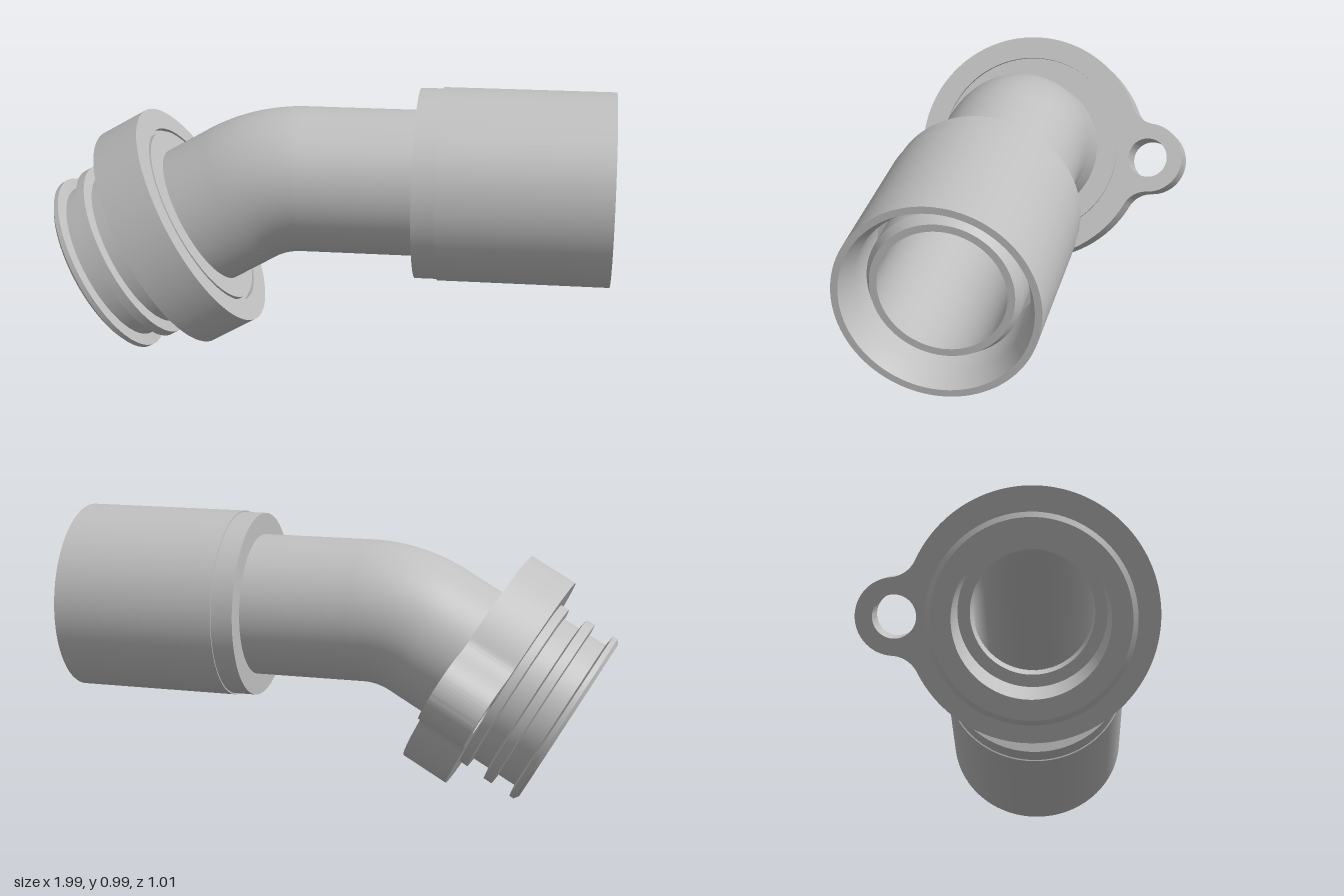
import * as THREE from 'three';
import { toCreasedNormals } from 'three/addons/utils/BufferGeometryUtils.js';

const SEG = 96;
const TUBE_R = 0.258, BORE_R = 0.213, BEND_R = 0.45;

export function createModel() {
  const model = new THREE.Group();
  const grey = new THREE.MeshStandardMaterial({ color: 0xc0c0c0, side: THREE.DoubleSide });
  grey.name = 'plain grey';

  const add = (parent, name, geometry) => {
    const mesh = new THREE.Mesh(geometry, grey);
    mesh.name = name;
    parent.add(mesh);
    return mesh;
  };
  // turned part from [radius, height] pairs, with sharp edges kept
  const turned = (points) => toCreasedNormals(
    new THREE.LatheGeometry(points.map(([r, y]) => new THREE.Vector2(r, y)), SEG), 0.4);

  // whole pipe runs in the plane z = 0.08
  const pipe = new THREE.Group();
  pipe.name = 'pipe';
  pipe.position.z = 0.08;
  model.add(pipe);

  // straight tube with the wide collar and the recessed inner lip (height = x)
  const bendX = -0.087, axisY = 0.653;
  const socket = add(pipe, 'collarAndTube', turned([
    [TUBE_R, bendX], [TUBE_R, 0.32], [0.336, 0.32], [0.336, 0.4], [0.341, 0.4],
    [0.341, 1], [0.317, 1], [0.287, 0.92], [0.287, 0.65], [0.257, 0.65],
    [0.257, 0.88], [0.238, 0.92], [BORE_R, 0.92], [BORE_R, bendX],
  ]));
  socket.rotation.z = -Math.PI / 2;
  socket.position.y = axisY;

  // 30 degree bend, outer and inner wall
  for (const [name, r] of [['bendOuter', TUBE_R], ['bendInner', BORE_R]]) {
    const bend = add(pipe, name, new THREE.TorusGeometry(BEND_R, r, SEG, 24, Math.PI / 6));
    bend.rotation.z = Math.PI / 2;
    bend.position.set(bendX, axisY - BEND_R, 0);
  }

  // tilted end: local y = 0 is the flange face, the open end is at negative y
  const end = new THREE.Group();
  end.name = 'tiltedEnd';
  end.position.set(-0.46, 0.507, 0);
  end.rotation.z = -Math.PI / 3;
  pipe.add(end);

  // ribbed spigot, seated in the flange with a thin groove around it
  add(end, 'ribbedSpigot', turned([
    [0.213, 0], [0.255, 0], [0.255, -0.424], [0.322, -0.424], [0.339, -0.412],
    [0.339, -0.394], [0.297, -0.388], [0.297, -0.322], [0.337, -0.318], [0.337, -0.284],
    [0.297, -0.278], [0.297, -0.216], [0.333, -0.212], [0.333, -0.18], [0.345, -0.18],
    [0.345, -0.015], [0.334, -0.015], [0.334, 0], [TUBE_R, 0], [TUBE_R, 0.171],
  ]));
  add(end, 'spigotBore', turned([[BORE_R, 0.171], [BORE_R, 0]]));

  // flange with one bolt lug, blended by concave fillets
  const R = 0.425, lugR = 0.13, lugY = 0.455, fillet = 0.1;
  const fy = ((R + fillet) ** 2 - (lugR + fillet) ** 2 + lugY ** 2) / (2 * lugY);
  const fx = Math.sqrt((R + fillet) ** 2 - fy ** 2);
  const a = Math.atan2(fy, fx), b = Math.atan2(fy - lugY, fx);
  const outline = new THREE.Shape();
  outline.absarc(0, lugY, lugR, b, Math.PI - b, false);
  outline.absarc(-fx, fy, fillet, -b, -a, true);
  outline.absarc(0, 0, R, Math.PI - a, 2 * Math.PI + a, false);
  outline.absarc(fx, fy, fillet, Math.PI + a, Math.PI + b, true);
  for (const [y, r] of [[0, 0.345], [lugY, 0.073]]) {
    outline.holes.push(new THREE.Path().absarc(0, y, r, 0, 2 * Math.PI, true));
  }
  const flange = new THREE.ExtrudeGeometry(outline, { depth: 0.18, bevelEnabled: false, curveSegments: 64 });
  flange.rotateX(-Math.PI / 2).translate(0, -0.18, 0);
  add(end, 'flangeWithLug', toCreasedNormals(flange, 0.4));

  return model;
}
